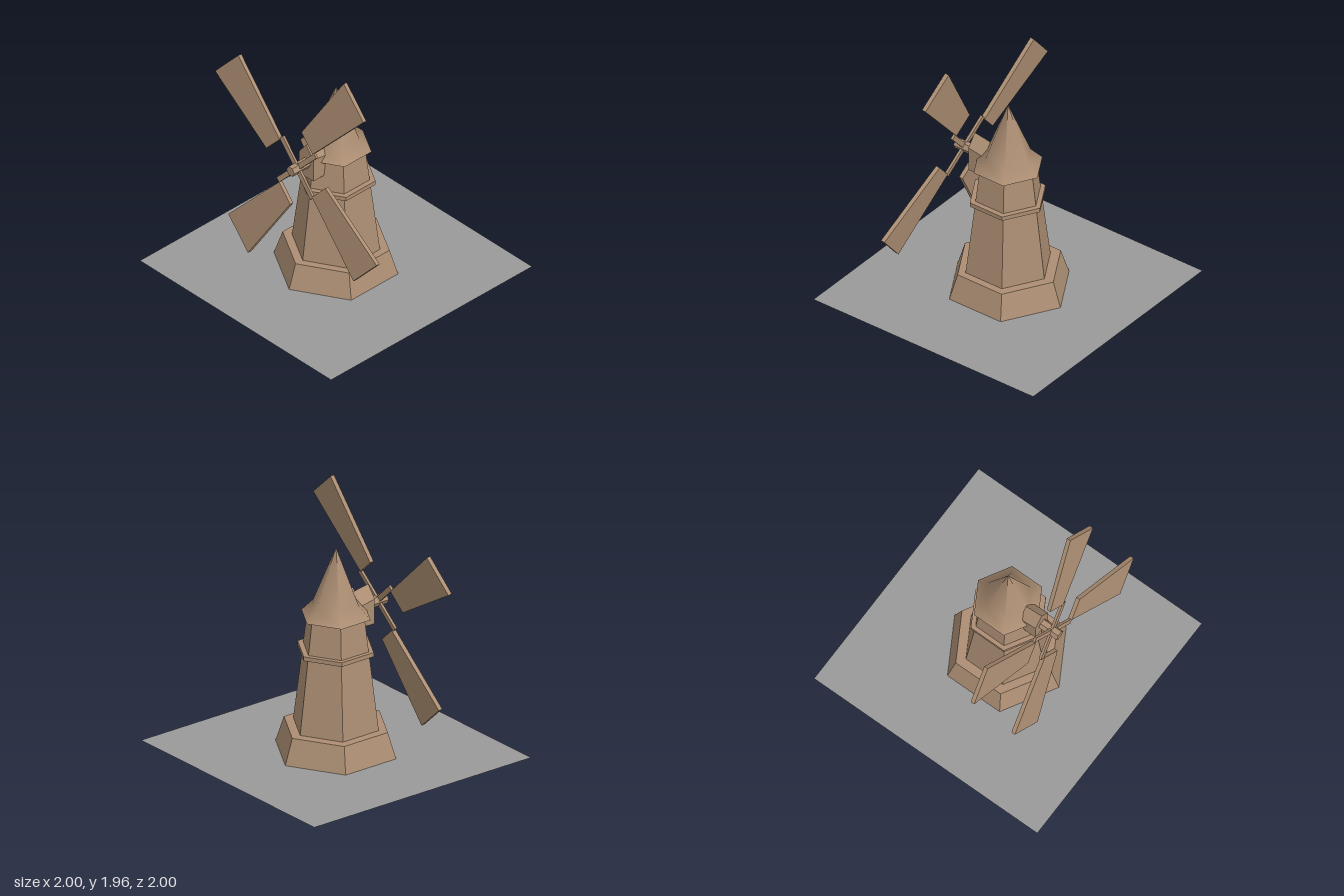
import * as THREE from 'three';

export function createModel() {
  const model = new THREE.Group();
  model.name = 'windmill';

  const wood = new THREE.MeshStandardMaterial({ color: 0xac8e73 });
  wood.name = 'brown';
  const ground = new THREE.MeshStandardMaterial({ color: 0x999999, side: THREE.DoubleSide });
  ground.name = 'grey';

  function add(name, geometry, material = wood, parent = model) {
    const mesh = new THREE.Mesh(geometry, material);
    mesh.name = name;
    parent.add(mesh);
    return mesh;
  }

  // Flat normals for crisp facets
  function flat(geometry) {
    const g = geometry.index ? geometry.toNonIndexed() : geometry;
    g.computeVertexNormals();
    return g;
  }

  // Six-sided turned shape with corners on the z axis
  function hex(points) {
    return new THREE.LatheGeometry(points.map(([r, y]) => new THREE.Vector2(r, y)), 6);
  }

  // Ground sheet
  const sheet = add('ground', new THREE.PlaneGeometry(2, 2), ground);
  sheet.rotation.x = -Math.PI / 2;
  sheet.position.y = 0.003;

  // Plinth, tower and gallery
  const base = add('base', flat(hex([[0.468, 0], [0.402, 0.2], [0.28, 0.2]])));
  base.position.set(-0.006, 0, -0.006);
  add('tower', flat(hex([[0.331, 0.2], [0.222, 1.06]])));
  const gallery = add('gallery', flat(hex([[0.25, 0.775], [0.295, 0.775], [0.295, 0.808], [0.25, 0.808]])));
  gallery.position.x = 0.004;

  // Flared roof, softly shaded, with a flat underside
  add('roof', hex([[0.268, 1.06], [0.177, 1.155], [0, 1.59]]));
  add('roofUnderside', flat(hex([[0.19, 1.06], [0.268, 1.06]])));

  // Gabled dormer whose ridge drops toward the back
  const gable = new THREE.Shape([
    [-0.075, 0.933], [0.075, 0.933], [0.075, 1.125], [0, 1.22], [-0.075, 1.125],
  ].map(([x, y]) => new THREE.Vector2(x, y)));
  const dormerGeometry = new THREE.ExtrudeGeometry(gable, { depth: 0.25, bevelEnabled: false });
  dormerGeometry.translate(0, 0, 0.05);
  const p = dormerGeometry.attributes.position;
  for (let i = 0; i < p.count; i++) {
    if (p.getY(i) > 1) p.setY(i, p.getY(i) - (0.3 - p.getZ(i)) * 0.17);
  }
  add('dormer', flat(dormerGeometry)).position.x = 0.003;

  // Axle
  const axle = new THREE.CylinderGeometry(0.041, 0.041, 0.2, 6);
  axle.rotateY(Math.PI / 6);
  axle.rotateX(Math.PI / 2);
  add('axle', flat(axle)).position.set(0.007, 1.063, 0.36);

  // Four sails on a rotor leaning back
  const rotor = new THREE.Group();
  rotor.name = 'rotor';
  rotor.position.set(0.007, 1.065, 0.391);
  rotor.rotation.x = -THREE.MathUtils.degToRad(8);
  model.add(rotor);

  const bladeShape = new THREE.Shape([
    [0.24, 0.02], [0.918, 0.02], [0.912, 0.335], [0.238, 0.2],
  ].map(([x, y]) => new THREE.Vector2(x, y)));
  const blade = new THREE.ExtrudeGeometry(bladeShape, { depth: 0.032, bevelEnabled: false });
  blade.translate(0, 0, -0.016);
  const spar = new THREE.BoxGeometry(0.25, 0.04, 0.02);
  spar.translate(0.125, 0, 0);

  for (let i = 0; i < 4; i++) {
    const sail = new THREE.Group();
    sail.name = 'sail' + (i + 1);
    sail.rotation.z = THREE.MathUtils.degToRad(47.5) + i * Math.PI / 2;
    add('blade', blade, wood, sail);
    add('spar', spar, wood, sail);
    rotor.add(sail);
  }

  return model;
}
